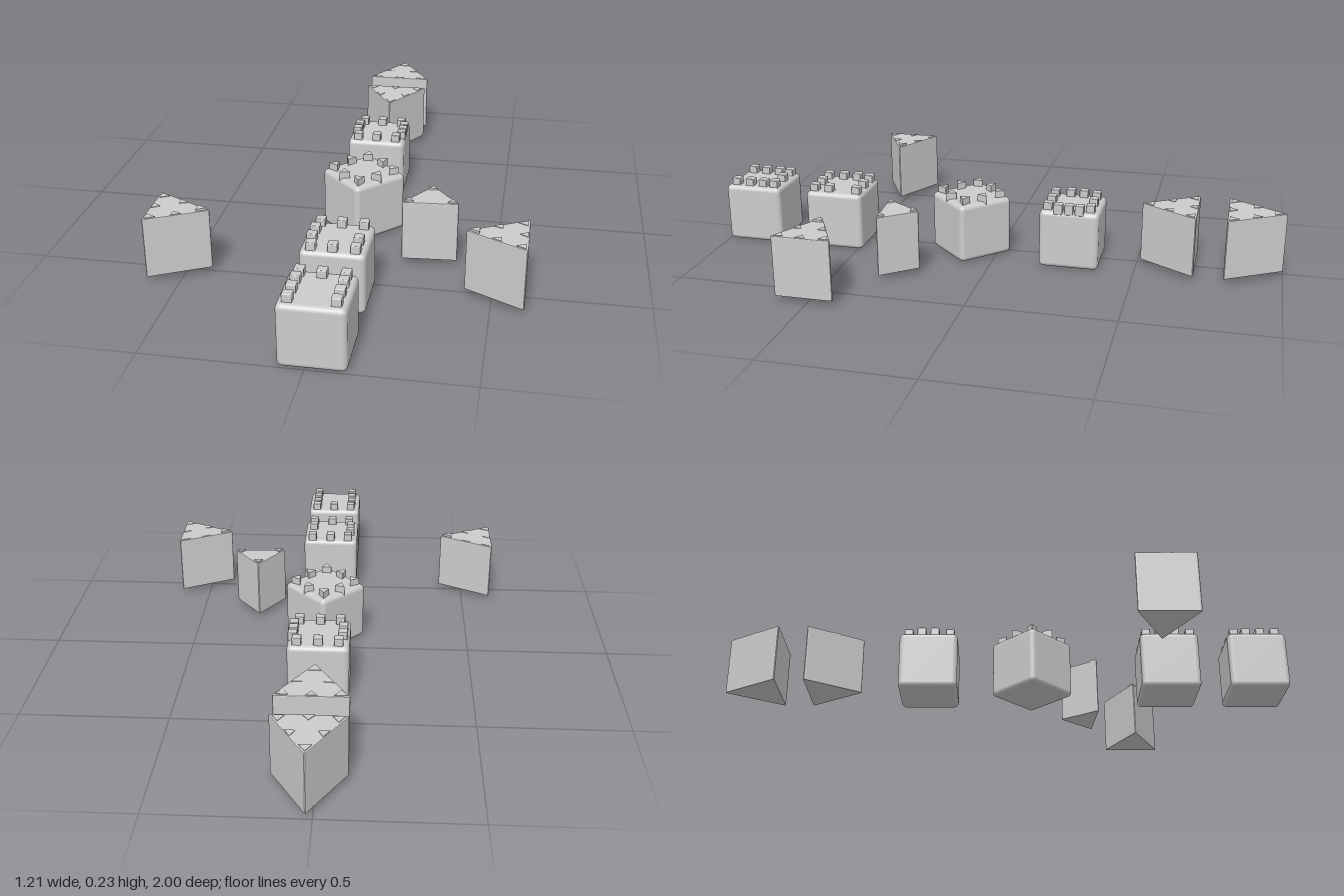
import * as THREE from 'three';
import { RoundedBoxGeometry } from 'three/addons/geometries/RoundedBoxGeometry.js';

const SIZE = 0.207;
const stone = new THREE.MeshStandardMaterial({ color: 0xcccccc });
stone.name = 'light grey';

function add(parent, geometry, name, x = 0, y = 0, z = 0) {
  const mesh = new THREE.Mesh(geometry, stone);
  mesh.name = name;
  mesh.position.set(x, y, z);
  parent.add(mesh);
  return mesh;
}

// Upright triangular slab from three [x, z] corners, with softened corners and edges
function trianglePrism(corners, y0, y1, soft, bevel) {
  const pts = corners.map(([x, z]) => new THREE.Vector2(x, -z));
  const shape = new THREE.Shape();
  pts.forEach((p, i) => {
    const toward = (q) => p.clone().add(q.clone().sub(p).setLength(soft));
    const a = toward(pts[(i + 2) % 3]);
    const b = toward(pts[(i + 1) % 3]);
    if (i === 0) shape.moveTo(a.x, a.y);
    else shape.lineTo(a.x, a.y);
    shape.quadraticCurveTo(p.x, p.y, b.x, b.y);
  });
  shape.closePath();
  const geometry = new THREE.ExtrudeGeometry(shape, {
    depth: y1 - y0 - 2 * bevel, bevelEnabled: bevel > 0, bevelThickness: bevel,
    bevelSize: bevel, bevelOffset: -bevel, bevelSegments: 2, curveSegments: 3,
  });
  geometry.rotateX(-Math.PI / 2);
  geometry.translate(0, y0 + bevel, 0);
  return geometry;
}

// Rounded cube with a ring of square studs on top
function cubeBlock(name, z, studs) {
  const block = new THREE.Group();
  block.name = name;
  block.position.set(0.021, 0, z);
  add(block, new RoundedBoxGeometry(SIZE, SIZE, SIZE, 3, 0.017), 'cubeBody', 0, 0.106, 0);
  const stud = new RoundedBoxGeometry(0.031, 0.036, 0.031, 1, 0.003);
  for (const [sx, sz] of studs) add(block, stud, 'squareStud', sx, 0.217, sz);
  return block;
}

// Cube turned 45 degrees with triangular studs pointing outwards
function diamondBlock() {
  const block = new THREE.Group();
  block.name = 'diamondBlock';
  block.position.set(0.021, 0, 0.097);
  add(block, new RoundedBoxGeometry(SIZE, SIZE, SIZE, 3, 0.017), 'diamondBody', 0, 0.109, 0)
    .rotation.y = Math.PI / 4;
  const stud = trianglePrism([[0.02, 0], [-0.013, 0.018], [-0.013, -0.018]], 0.2, 0.236, 0.002, 0);
  for (let i = 0; i < 8; i++) {
    const a = (i * Math.PI) / 4;
    const r = i % 2 ? 0.083 : 0.103;
    add(block, stud, 'triangleStud', r * Math.cos(a), 0, -r * Math.sin(a)).rotation.y = a;
  }
  return block;
}

// Triangular block; studs sit just proud of its top, near the corners and edge middles
function wedgeBlock(name, corners, heights, middles = true) {
  const block = new THREE.Group();
  block.name = name;
  add(block, trianglePrism(corners, 0.021, 0.23, 0.01, 0.003), 'wedgeBody');
  const center = [0, 1].map((k) => (corners[0][k] + corners[1][k] + corners[2][k]) / 3);
  const mix = (p, q, t) => [p[0] + (q[0] - p[0]) * t, p[1] + (q[1] - p[1]) * t];
  corners.forEach((p, i) => {
    const next = corners[(i + 1) % 3];
    const prev = corners[(i + 2) % 3];
    const inner = (q) => mix(q, center, 0.1);
    const tip = inner(p);
    add(block, trianglePrism([tip, mix(tip, inner(next), 0.18), mix(tip, inner(prev), 0.18)],
      0.2, heights[i], 0.001, 0), 'cornerStud');
    if (!middles) return;
    const m = mix(mix(p, next, 0.5), center, 0.06);
    add(block, trianglePrism([mix(m, p, 0.16), mix(m, next, 0.16), mix(m, center, 0.42)],
      0.2, 0.232, 0.001, 0), 'edgeStud');
  });
  return block;
}

export function createModel() {
  const model = new THREE.Group();
  model.name = 'blockSet';

  const row = (z, xs = [-0.068, 0, 0.071]) => xs.map((x) => [x, z]);
  model.add(
    cubeBlock('frontCube', 0.896, [
      ...row(-0.076), ...[-0.034, 0.017, 0.069].flatMap((z) => row(z, [-0.071, 0.071]))]),
    cubeBlock('secondCube', 0.585, [
      ...row(-0.08), ...row(0.077), [-0.076, -0.031], [-0.076, 0.022], [0.071, 0.022]]),
    cubeBlock('rearCube', -0.272, [
      ...row(-0.072), ...row(0.076), [-0.08, -0.025], [-0.08, 0.022],
      [0.087, -0.036], [0.087, 0.001], [0.087, 0.038]]),
    diamondBlock(),
  );

  // Two facing wedges at the back
  const low = [0.232, 0.232, 0.232];
  model.add(
    wedgeBlock('backWedge', [[0.021, -1.004], [-0.1, -0.804], [0.142, -0.804]], low),
    wedgeBlock('innerBackWedge', [[0.021, -0.509], [0.142, -0.704], [-0.1, -0.704]], low),
  );

  // Mirrored wedges pointing inwards from either side
  for (const side of [-1, 1]) {
    model.add(wedgeBlock(side > 0 ? 'leftWedge' : 'rightWedge',
      [[side * 0.408, 0.508], [side * 0.606, 0.405], [side * 0.606, 0.611]],
      [0.237, 0.232, 0.232]));
  }

  // Small skewed wedge
  model.add(wedgeBlock('smallWedge', [[0.278, 0.212], [0.186, 0.349], [0.377, 0.335]],
    [0.236, 0.236, 0.236], false));
  return model;
}
